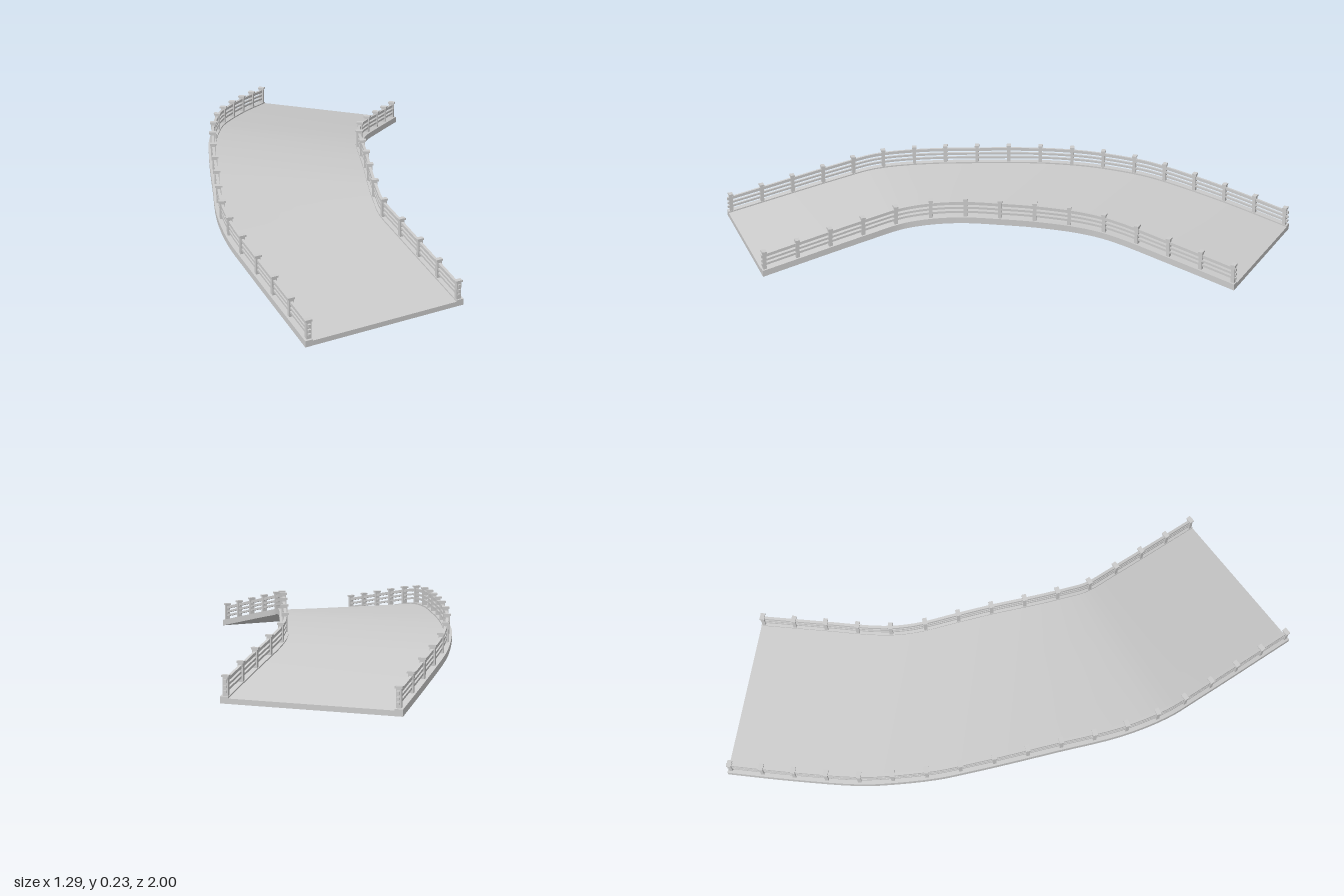
import * as THREE from 'three';

// Stations along the bridge: outer x, z, inner x, z, deck height
const STATIONS = [
  [-0.645, -1, -0.025, -1, 0.018],
  [-0.645, -0.75, -0.025, -0.75, 0.07],
  [-0.635, -0.5, -0.022, -0.52, 0.115],
  [-0.62, -0.4, 0, -0.41, 0.131],
  [-0.575, -0.22, 0.06, -0.26, 0.148],
  [-0.53, -0.1, 0.115, -0.13, 0.155],
  [-0.48, 0.02, 0.155, -0.03, 0.157],
  [-0.4, 0.2, 0.19, 0.05, 0.153],
  [-0.3, 0.42, 0.23, 0.13, 0.143],
  [-0.2, 0.575, 0.265, 0.19, 0.13],
  [-0.1, 0.68, 0.35, 0.275, 0.105],
  [0.22, 0.995, 0.64, 0.55, 0.018],
];
const SAMPLES = 44;
const THICK = 0.018;

const material = new THREE.MeshStandardMaterial({ color: 0xcccccc });

const edgeCurve = (ix, iz) =>
  new THREE.CatmullRomCurve3(STATIONS.map(s => new THREE.Vector3(s[ix], s[4], s[iz])));

// Loft closed rings of equal size; every side strip has its own vertices, so edges stay sharp
function loft(rings) {
  const n = rings[0].length, pos = [], index = [];
  for (let k = 0; k < n; k++) {
    const base = pos.length / 3;
    rings.forEach(r => pos.push(...r[k].toArray(), ...r[(k + 1) % n].toArray()));
    for (let i = 0; i < rings.length - 1; i++) {
      const a = base + i * 2;
      index.push(a, a + 1, a + 2, a + 1, a + 3, a + 2);
    }
  }
  // End caps
  [[rings[0], true], [rings[rings.length - 1], false]].forEach(([ring, flip]) => {
    const base = pos.length / 3;
    ring.forEach(p => pos.push(...p.toArray()));
    for (let k = 1; k < n - 1; k++) {
      index.push(base, base + (flip ? k + 1 : k), base + (flip ? k : k + 1));
    }
  });
  const g = new THREE.BufferGeometry();
  g.setAttribute('position', new THREE.Float32BufferAttribute(pos, 3));
  g.setIndex(index);
  g.computeVertexNormals();
  return g;
}

function add(parent, geometry, name) {
  const mesh = new THREE.Mesh(geometry, material);
  mesh.name = name;
  parent.add(mesh);
  return mesh;
}

// Horizontal direction pointing to +x side of the path at u
function sideways(curve, u) {
  const t = curve.getTangent(u);
  return new THREE.Vector3(t.z, 0, -t.x).normalize();
}

// Rectangular bar following an edge: from offset o0 to o1 sideways, height y0 to y1 above the deck
function bar(curve, o0, o1, y0, y1) {
  const rings = [];
  for (let i = 0; i <= SAMPLES; i++) {
    const u = i / SAMPLES, p = curve.getPoint(u), s = sideways(curve, u);
    rings.push([[o0, y0], [o1, y0], [o1, y1], [o0, y1]].map(([o, y]) => {
      const v = p.clone().addScaledVector(s, o);
      v.y += y;
      return v;
    }));
  }
  return loft(rings);
}

export function createModel() {
  const group = new THREE.Group();
  group.name = 'curvedBridge';
  const outer = edgeCurve(0, 1), inner = edgeCurve(2, 3);

  // Arched deck slab
  const rings = [];
  const down = new THREE.Vector3(0, -THICK, 0);
  for (let i = 0; i <= SAMPLES; i++) {
    const a = outer.getPoint(i / SAMPLES), b = inner.getPoint(i / SAMPLES);
    rings.push([a.clone().add(down), b.clone().add(down), b, a]);
  }
  add(group, loft(rings), 'deck');

  // Curb, rails and posts on each edge; sign points toward the deck
  [['outer', outer, 1, 19], ['inner', inner, -1, 15]].forEach(([label, curve, sign, count]) => {
    const railing = new THREE.Group();
    railing.name = label + 'Railing';
    group.add(railing);
    const strip = (from, to, y0, y1, name) => add(railing,
      bar(curve, Math.min(sign * from, sign * to), Math.max(sign * from, sign * to), y0, y1), name);

    strip(0, 0.028, -THICK, 0.005, 'curb');
    [[0.018, 0.026], [0.034, 0.042], [0.05, 0.061]].forEach(([y0, y1]) =>
      strip(0.012, 0.022, y0, y1, 'rail'));

    for (let i = 0; i < count; i++) {
      const d = 0.006 + 0.988 * i / (count - 1);
      const u = curve.getUtoTmapping(d);
      const p = curve.getPoint(u), s = sideways(curve, u);
      const post = new THREE.Group();
      post.name = 'post';
      post.position.copy(p).addScaledVector(s, sign * 0.017);
      post.rotation.y = Math.atan2(-s.z, s.x);
      add(post, new THREE.BoxGeometry(0.018, 0.07, 0.013), 'postShaft').position.y = 0.033;
      add(post, new THREE.BoxGeometry(0.026, 0.007, 0.017), 'postCap').position.y = 0.07;
      railing.add(post);
    }
  });
  return group;
}
